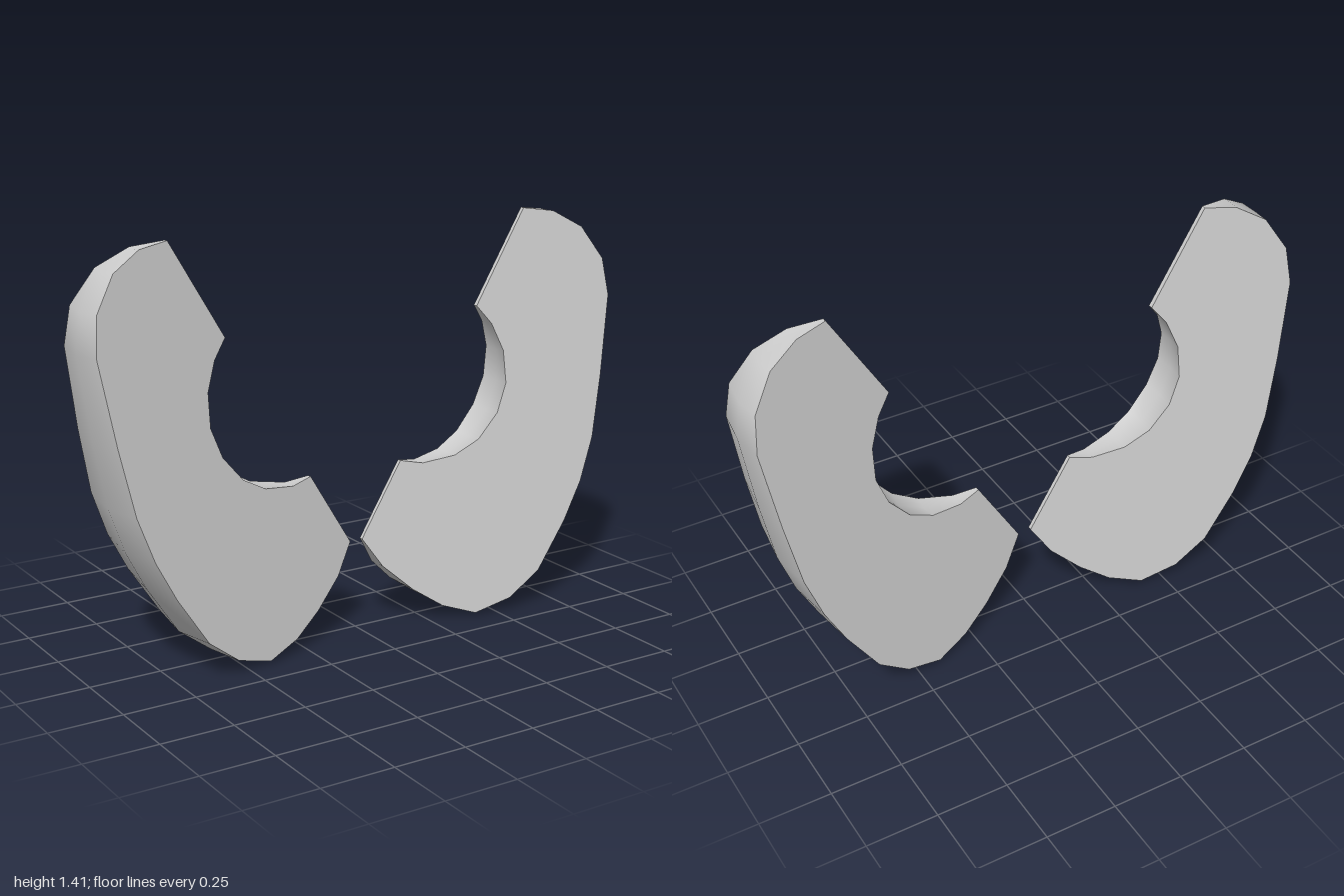
import * as THREE from 'three';

const HALF_ANGLE = Math.PI / 12; // each piece is a 30 degree slice of a turned body
const TILT = Math.atan2(0.663, 1.091); // lean of the turning axis
const AXIS = new THREE.Vector2(0, 0.33); // foot of the turning axis

// Profile in the upright plane, converted to (distance from axis, height along axis)
const toProfile = (list, stretch = 1) => list.map(([x, y]) => {
  const p = new THREE.Vector2(x, y).sub(AXIS).rotateAround(new THREE.Vector2(), TILT);
  p.x *= stretch;
  return p;
});

const outer = toProfile([
  [0.025, 0.315], [0.095, 0.21], [0.2, 0.115], [0.307, 0.043], [0.43, 0], [0.565, 0.037],
  [0.68, 0.123], [0.79, 0.29], [0.86, 0.425], [0.914, 0.578], [0.957, 0.8], [1, 1.08],
  [0.983, 1.21], [0.907, 1.326], [0.8, 1.388], [0.688, 1.405],
]);
// Bite points lie on the flat faces, so they are pushed out to the true radius
const bite = toProfile([
  [0.493, 1.08], [0.543, 1.016], [0.58, 0.92], [0.582, 0.807], [0.543, 0.706],
  [0.468, 0.62], [0.377, 0.572], [0.26, 0.556], [0.18, 0.572],
], 1 / Math.cos(HALF_ANGLE));

function createSlice(name) {
  const slice = new THREE.Group();
  slice.name = name;
  const body = new THREE.Group();
  body.position.set(AXIS.x, AXIS.y, 0);
  body.rotation.z = -TILT;
  slice.add(body);
  const material = new THREE.MeshStandardMaterial({ color: 0xcccccc });
  const add = (geometry, part) => {
    const mesh = new THREE.Mesh(geometry, material);
    mesh.name = part;
    body.add(mesh);
  };

  // Turned surfaces, kept apart so the corners between them stay sharp
  const turned = {
    outerRim: outer,
    upperEdge: [outer[outer.length - 1], bite[0]],
    innerBite: bite,
    lowerEdge: [bite[bite.length - 1], outer[0]],
  };
  for (const [part, points] of Object.entries(turned)) {
    add(new THREE.LatheGeometry(points, 2, Math.PI / 2 - HALF_ANGLE, 2 * HALF_ANGLE), part);
  }

  // Flat faces on both sides
  const outline = new THREE.Shape([...outer, ...bite]);
  const front = new THREE.ShapeGeometry(outline);
  front.rotateY(-HALF_ANGLE);
  add(front, 'frontFace');
  const back = new THREE.ShapeGeometry(outline);
  back.index.array.reverse();
  back.computeVertexNormals();
  back.rotateY(HALF_ANGLE);
  add(back, 'backFace');
  return slice;
}

export function createModel() {
  const model = new THREE.Group();
  model.name = 'wedgePair';
  const left = createSlice('leftSlice');
  const right = createSlice('rightSlice');
  right.rotation.y = Math.PI; // a half turn mirrors the symmetric slice
  model.add(left, right);
  return model;
}
